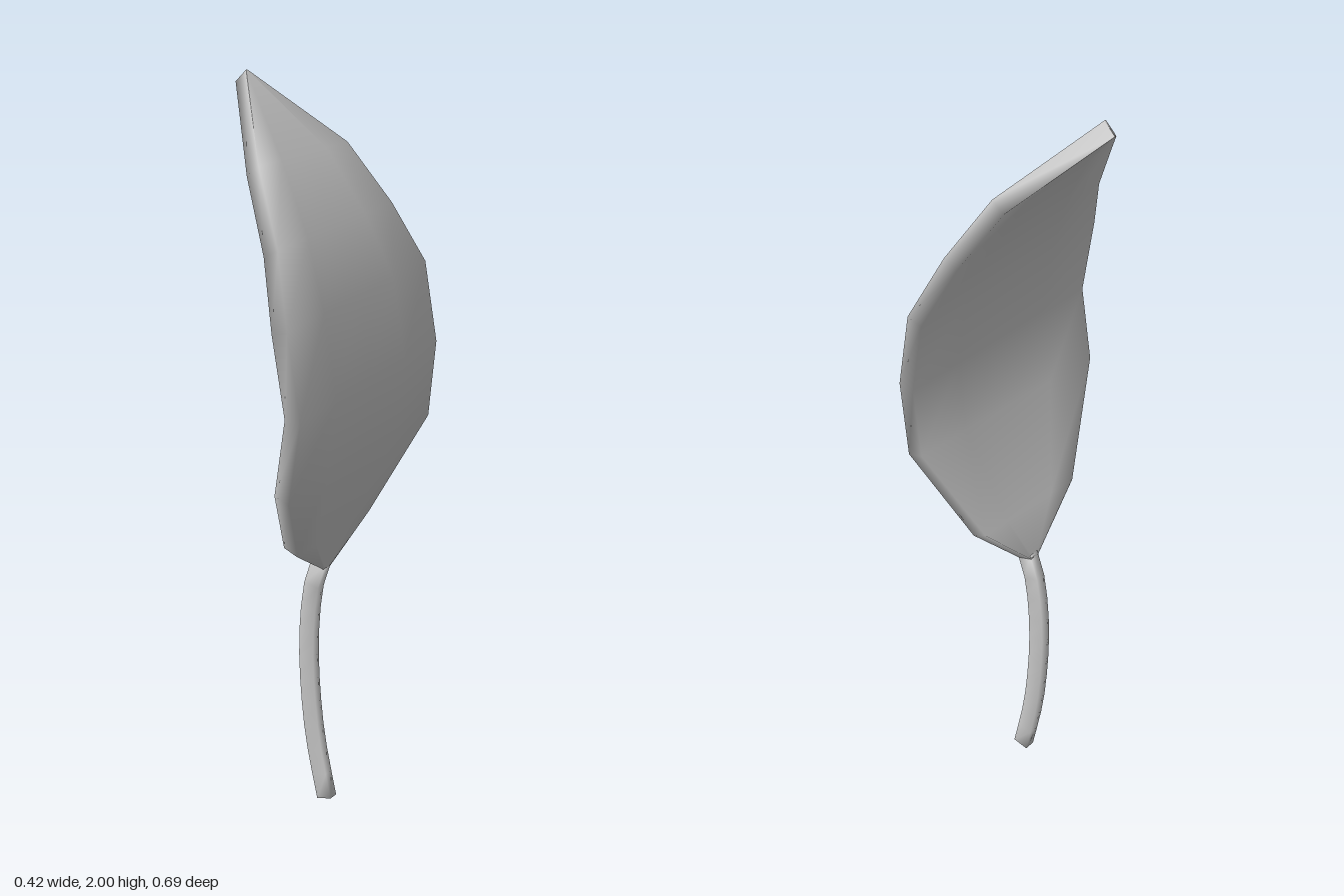
import * as THREE from 'three';

const HALF = 0.022; // half the thickness of stem and blade

// Side profile: [x, y] of the centre line from stem foot to leaf tip
const profile = new THREE.SplineCurve([
  [0.02, 0.006], [-0.02, 0.2], [-0.038, 0.42], [-0.028, 0.6], [0.0, 0.7], [0.04, 0.81],
  [0.155, 1.05], [0.184, 1.25], [0.15, 1.47], [0.08, 1.64], [-0.01, 1.795], [-0.194, 1.984],
].map(([x, y]) => new THREE.Vector2(x, y))).getPoints(220);

// x of the centre line at a height
function profileX(y) {
  let i = 1;
  while (i < profile.length - 1 && profile[i].y < y) i++;
  const a = profile[i - 1], b = profile[i];
  return a.x + (b.x - a.x) * (y - a.y) / (b.y - a.y);
}

// Closed, smooth sheet following the profile; rows are [zLeft, yLeft, zRight, yRight]
function sheet(rows, columns) {
  const positions = [], indices = [], n = columns * 2;
  for (const [zl, yl, zr, yr] of rows) {
    for (let k = 0; k < n; k++) {
      const side = k < columns ? 1 : -1;
      const t = (side > 0 ? k : n - 1 - k) / (columns - 1);
      const y = yl + (yr - yl) * t, z = zl + (zr - zl) * t;
      const slope = (profileX(y + 0.03) - profileX(y - 0.03)) / 0.06;
      const s = side * HALF / Math.hypot(1, slope);
      positions.push(profileX(y) + s, y - slope * s, z);
    }
  }
  const quad = (a, b, c, d) => indices.push(a, b, c, a, c, d);
  for (let i = 0; i < rows.length - 1; i++) {
    for (let k = 0; k < n; k++) {
      const a = i * n + k, b = i * n + (k + 1) % n;
      quad(a, b, b + n, a + n);
    }
  }
  // end caps
  const top = (rows.length - 1) * n;
  for (let k = 0; k < columns - 1; k++) {
    quad(k, n - 1 - k, n - 2 - k, k + 1);
    quad(top + k, top + k + 1, top + n - 2 - k, top + n - 1 - k);
  }
  const geometry = new THREE.BufferGeometry();
  geometry.setAttribute('position', new THREE.Float32BufferAttribute(positions, 3));
  geometry.setIndex(indices);
  geometry.computeVertexNormals();
  return geometry;
}

export function createModel() {
  const group = new THREE.Group();
  group.name = 'leaf';
  const material = new THREE.MeshStandardMaterial({ color: 0xcccccc });
  const add = (name, geometry) => {
    const mesh = new THREE.Mesh(geometry, material);
    mesh.name = name;
    group.add(mesh);
  };

  // Stem: narrow strip of constant width
  const stemRows = [];
  for (let i = 0; i <= 10; i++) {
    const y = 0.006 + 0.694 * i / 10;
    stemRows.push([-0.085, y, -0.115, y]);
  }
  add('stem', sheet(stemRows, 2));

  // Blade: widens from the stem, then narrows to the tip
  add('blade', sheet([
    [-0.085, 0.69, -0.115, 0.69],
    [0.11, 0.80, -0.24, 0.82],
    [0.33, 1.03, -0.34, 1.08],
    [0.338, 1.24, -0.341, 1.28],
    [0.348, 1.455, -0.342, 1.485],
    [0.28, 1.625, -0.28, 1.64],
    [0.20, 1.80, -0.21, 1.795],
    [-0.025, 1.984, -0.031, 1.984],
  ], 5));
  return group;
}
